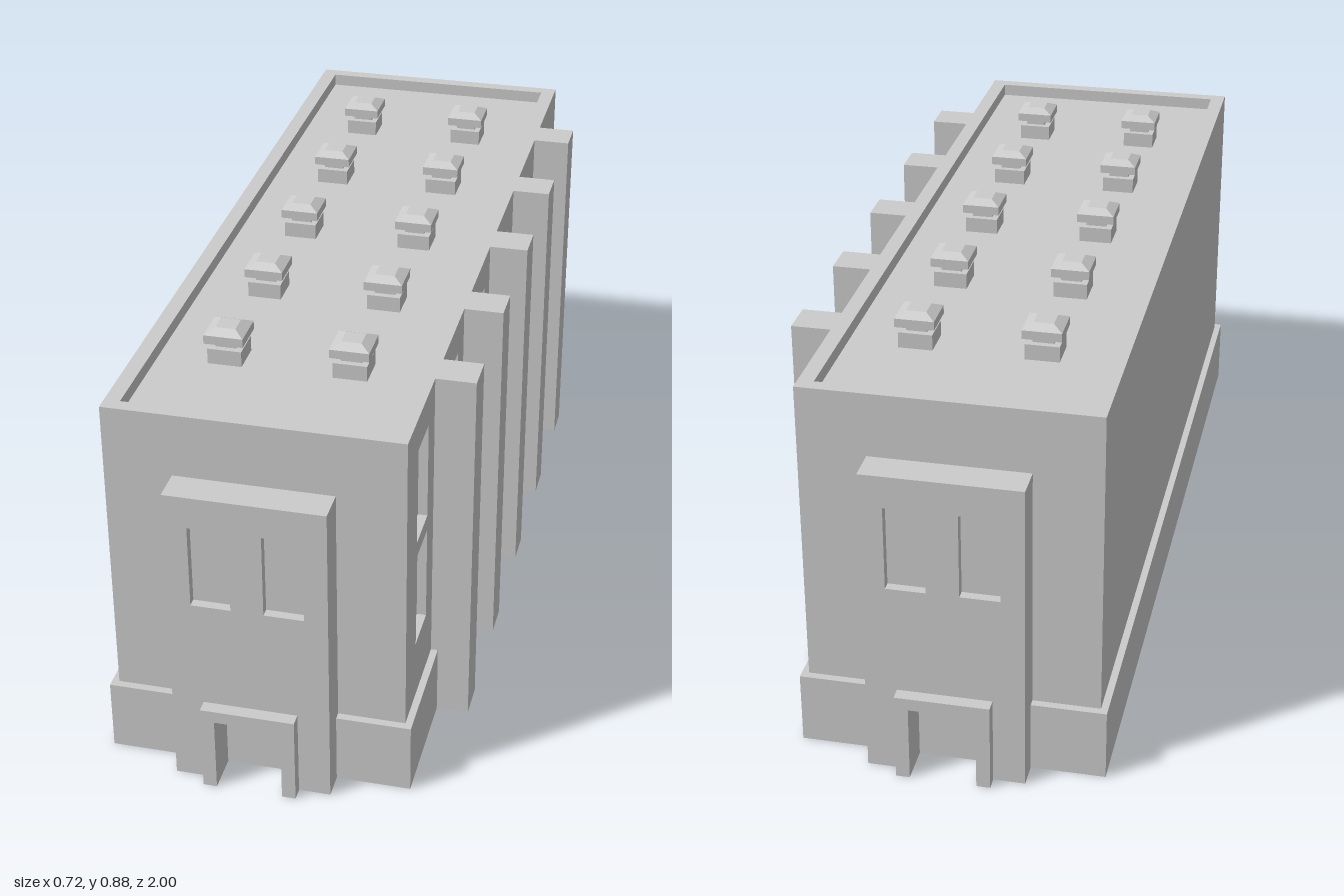
import * as THREE from 'three';

const material = new THREE.MeshStandardMaterial({ color: 0xcccccc, flatShading: true, side: THREE.DoubleSide });

function add(parent, name, geometry, x = 0, y = 0, z = 0) {
  const mesh = new THREE.Mesh(geometry, material);
  mesh.name = name;
  mesh.position.set(x, y, z);
  parent.add(mesh);
  return mesh;
}

// Box standing on y = 0 with some sides left out (0 +x, 1 -x, 2 +y, 3 -y, 4 +z, 5 -z)
function openBox(w, h, d, omit = []) {
  const g = new THREE.BoxGeometry(w, h, d).translate(0, h / 2, 0);
  const all = Array.from(g.index.array);
  g.setIndex(all.filter((_, i) => !omit.includes(Math.floor(i / 6))));
  g.clearGroups();
  return g;
}

const polygon = (pts) => pts.map(([x, y]) => new THREE.Vector2(x, y));
const rect = (x0, y0, x1, y1) => polygon([[x0, y0], [x1, y0], [x1, y1], [x0, y1]]);

// Extrudes an outline with holes
function panel(outline, holes, depth) {
  const shape = new THREE.Shape(outline);
  holes.forEach((h) => shape.holes.push(new THREE.Path(h)));
  return new THREE.ExtrudeGeometry(shape, { depth, bevelEnabled: false });
}

// Rectangle with a doorway cut up from its bottom edge
const gateway = (w, h, dw, dh) => polygon([
  [-w, 0], [-dw, 0], [-dw, dh], [dw, dh], [dw, 0], [w, 0], [w, h], [-w, h]]);

// Flat rectangular ring lying in the ground plane, rising by height
const ring = (w, d, iw, id, height) =>
  panel(rect(-w, -d, w, d), [rect(-iw, -id, iw, id)], height).rotateX(-Math.PI / 2);

const W = 0.308, D = 0.9, H = 0.828;        // main block half width, half depth, height
const PW = 0.323, PD = 0.917, PH = 0.157;   // plinth

function createEnd() {
  const end = new THREE.Group();
  end.name = 'entranceBay';
  const windows = [-0.0755, 0.0755].map((x) => rect(x - 0.0415, 0.435, x + 0.0415, 0.62));
  add(end, 'entranceBayWall', panel(gateway(0.166, 0.69, 0.07, 0.168), windows, 0.072), 0, 0, 0.9);
  for (const x of [-0.0755, 0.0755]) {
    add(end, 'entranceBayPane', new THREE.PlaneGeometry(0.083, 0.185), x, 0.5275, 0.952);
  }
  add(end, 'doorFrame', panel(gateway(0.099, 0.195, 0.07, 0.168), [], 0.028), 0, 0, 0.972);
  return end;
}

function createVent() {
  const vent = new THREE.Group();
  vent.name = 'roofVent';
  add(vent, 'ventBase', openBox(0.072, 0.034, 0.072));
  add(vent, 'ventNeck', openBox(0.045, 0.014, 0.045), 0, 0.034);
  add(vent, 'ventCap', openBox(0.083, 0.019, 0.083), 0, 0.048);
  const top = new THREE.CylinderGeometry(0.021 * Math.SQRT2, 0.0415 * Math.SQRT2, 0.011, 4);
  add(vent, 'ventCapTop', top.rotateY(Math.PI / 4), 0, 0.0725);
  return vent;
}

export function createModel() {
  const model = new THREE.Group();
  model.name = 'building';
  const block = new THREE.Group();
  block.name = 'block';
  block.position.x = -0.035;
  model.add(block);

  // Walls, plinth and roof
  add(block, 'walls', openBox(W * 2, H - PH, D * 2, [0, 2, 3]), 0, PH);
  add(block, 'plinth', openBox(PW * 2, PH, PD * 2, [2, 3]));
  add(block, 'plinthLedge', new THREE.ShapeGeometry(Object.assign(
    new THREE.Shape(rect(-PW, -PD, PW, PD)), { holes: [new THREE.Path(rect(-W, -D, W, D))] }
  )).rotateX(-Math.PI / 2), 0, PH);
  add(block, 'parapet', ring(W, D, 0.275, 0.87, 0.028), 0, 0.8);
  add(block, 'roof', new THREE.PlaneGeometry(0.55, 1.74).rotateX(-Math.PI / 2), 0, 0.8);

  // Window wall with two rows of recessed windows
  const holes = [];
  for (let i = 0; i < 6; i++) {
    const z = (i - 2.5) * 0.302;
    for (const y of [0.29, 0.54]) {
      holes.push(rect(z - 0.051, y, z + 0.051, y + 0.215));
      add(block, 'windowPane', new THREE.PlaneGeometry(0.102, 0.215).rotateY(Math.PI / 2), W - 0.02, y + 0.1075, z);
    }
  }
  add(block, 'windowWall', panel(rect(-D, PH, D, H), holes, 0.02).rotateY(Math.PI / 2), W - 0.02);

  // Buttresses, each in line with a pair of roof vents
  for (let i = -2; i <= 2; i++) {
    const z = i * 0.302;
    add(block, 'buttress', openBox(0.084, H, 0.081, [1, 3]), W + 0.042, 0, z);
    for (const x of [-0.1315, 0.1315]) {
      const vent = createVent();
      vent.position.set(x, 0.8, z);
      block.add(vent);
    }
  }

  // Matching entrance bays at both ends
  for (const turn of [0, Math.PI]) {
    const end = createEnd();
    end.rotation.y = turn;
    block.add(end);
  }
  return model;
}
